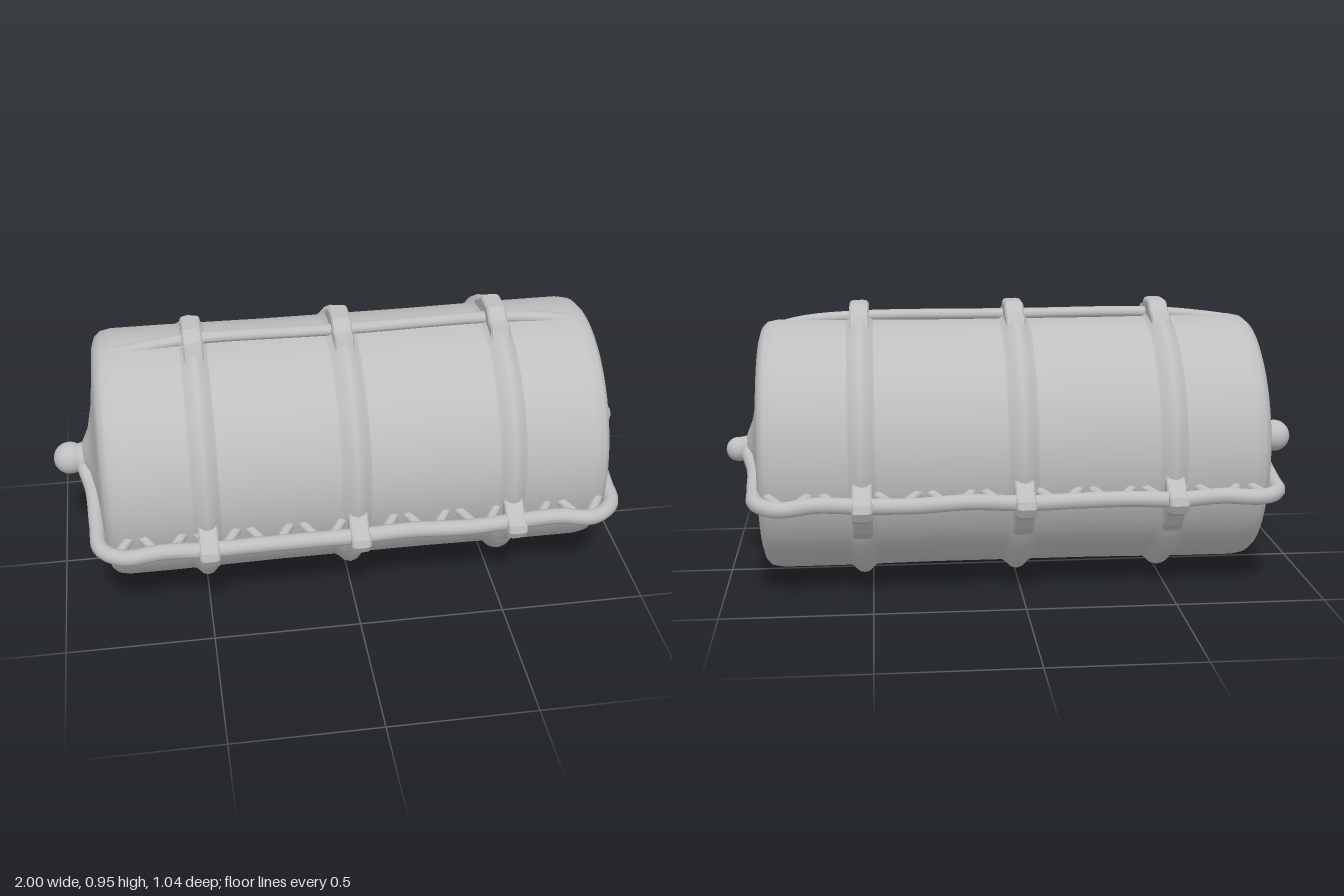
import * as THREE from 'three';

const CY = 0.46; // height of the drum axis
const BANDS = [-0.5, 0, 0.53];

export function createModel() {
  const root = new THREE.Group();
  const grey = new THREE.MeshStandardMaterial({ color: 0xbfbfbf });
  grey.name = 'plain grey';
  const add = (name, geo, x = 0, y = 0, z = 0) => {
    const m = new THREE.Mesh(geo, grey);
    m.name = name;
    m.position.set(x, y, z);
    root.add(m);
    return m;
  };
  const V = (x, y, z) => new THREE.Vector3(x, y, z);
  const lathe = (pts) => {
    const g = new THREE.LatheGeometry(pts.map(([x, r]) => new THREE.Vector2(r, x)), 64);
    g.rotateZ(-Math.PI / 2);
    return g.scale(1, 1.015, 0.985);
  };

  // Drum with rounded shoulders and shallow conical ends
  add('drum', lathe([
    [-0.92, 0], [-0.9, 0.04], [-0.875, 0.09], [-0.858, 0.17], [-0.845, 0.28], [-0.837, 0.37],
    [-0.826, 0.4], [-0.805, 0.418], [-0.77, 0.425], [-0.6, 0.425], [-0.25, 0.421], [0.27, 0.421],
    [0.62, 0.425], [0.81, 0.425], [0.845, 0.418], [0.863, 0.4], [0.872, 0.37],
    [0.878, 0.28], [0.89, 0.17], [0.905, 0.09], [0.925, 0.04], [0.94, 0],
  ]), 0, CY, 0);

  // Raised hoops
  for (const x of BANDS) {
    add('hoop', lathe([
      [-0.055, 0.418], [-0.035, 0.43], [-0.018, 0.447], [0, 0.452],
      [0.018, 0.447], [0.035, 0.43], [0.055, 0.418],
    ]), x, CY, 0);
  }

  // End knobs
  add('rightKnob', new THREE.SphereGeometry(0.056, 20, 14), -0.944, 0.45, 0);
  add('leftKnob', new THREE.SphereGeometry(0.042, 20, 14), 0.958, 0.445, -0.01);
  for (const [x, r] of [[-0.91, 0.042], [0.925, 0.034]]) {
    const neck = new THREE.CylinderGeometry(r, r * 1.35, 0.06, 18);
    neck.rotateZ(x < 0 ? Math.PI / 2 : -Math.PI / 2);
    add('knobNeck', neck, x, 0.45, 0);
  }

  // Seam cord running along both sides and across both ends
  const side = [-0.78, -0.65, -0.5, -0.35, -0.18, 0, 0.18, 0.36, 0.53, 0.68, 0.8];
  const sidePoint = (x, i, s) =>
    V(x, 0.358 + 0.006 * Math.sin(i * 2.3), s * (0.468 + 0.006 * Math.cos(i * 1.9)));
  const path = [
    ...side.map((x, i) => sidePoint(x, i, 1)),
    V(0.875, 0.36, 0.42), V(0.888, 0.37, 0.3), V(0.9, 0.4, 0.13), V(0.925, 0.44, 0),
    V(0.896, 0.4, -0.13), V(0.885, 0.37, -0.3), V(0.87, 0.36, -0.42),
    ...side.map((x, i) => sidePoint(x, i, -1)).reverse(),
    V(-0.845, 0.36, -0.42), V(-0.858, 0.37, -0.3), V(-0.868, 0.4, -0.13), V(-0.9, 0.44, 0),
    V(-0.872, 0.4, 0.13), V(-0.862, 0.37, 0.3), V(-0.85, 0.36, 0.42),
  ];
  add('seamCord', new THREE.TubeGeometry(new THREE.CatmullRomCurve3(path, true), 260, 0.027, 10, true));

  // Slanted links lacing the cord to the drum
  for (const s of [-1, 1]) {
    for (let i = 0; i < 19; i++) {
      const x = -0.78 + i * 0.0885;
      const slant = (i % 2 ? 1 : -1) * 0.022;
      const link = new THREE.LineCurve3(V(x - slant, 0.375, s * 0.4), V(x + slant, 0.36, s * 0.465));
      add('lacingLink', new THREE.TubeGeometry(link, 1, 0.017, 7, false));
    }
  }

  // Ridge along the top
  const ridge = new THREE.CatmullRomCurve3([
    V(-0.8, 0.865, 0.02), V(-0.7, 0.88, 0.025), V(-0.5, 0.9, 0.02), V(0, 0.9, 0.025),
    V(0.53, 0.9, 0.02), V(0.72, 0.885, 0.025), V(0.83, 0.86, 0.02),
  ]);
  const ridgeMesh = add('topRidge', new THREE.TubeGeometry(ridge, 60, 0.02, 10, false));
  ridgeMesh.scale.z = 1.2;

  // Lugs where hoops meet the ridge and the seam, as outlines in z and y
  const lug = (pts, width) => {
    const shape = new THREE.Shape(pts.map(([z, y]) => new THREE.Vector2(-z, y)));
    const g = new THREE.ExtrudeGeometry(shape, {
      depth: width, bevelEnabled: true, bevelThickness: 0.018, bevelSize: 0.01,
      bevelOffset: -0.01, bevelSegments: 2,
    });
    g.translate(0, 0, -width / 2);
    return g.rotateY(Math.PI / 2);
  };
  const topLug = [
    [0.16, 0.85], [0.14, 0.885], [0.125, 0.92], [0.09, 0.922], [0.05, 0.953],
    [-0.04, 0.953], [-0.08, 0.922], [-0.11, 0.915], [-0.14, 0.875], [-0.16, 0.85],
  ];
  const sideLug = [
    [0.39, 0.46], [0.43, 0.425], [0.47, 0.385], [0.515, 0.372], [0.522, 0.345],
    [0.505, 0.315], [0.455, 0.295], [0.42, 0.25], [0.38, 0.22],
  ];
  for (const x of BANDS) {
    add('topLug', lug(topLug, 0.03), x, 0, 0);
    for (const s of [-1, 1]) {
      add('sideLug', lug(sideLug.map(([z, y]) => [s * z, y]), 0.03), x, 0, 0);
    }
  }

  return root;
}
